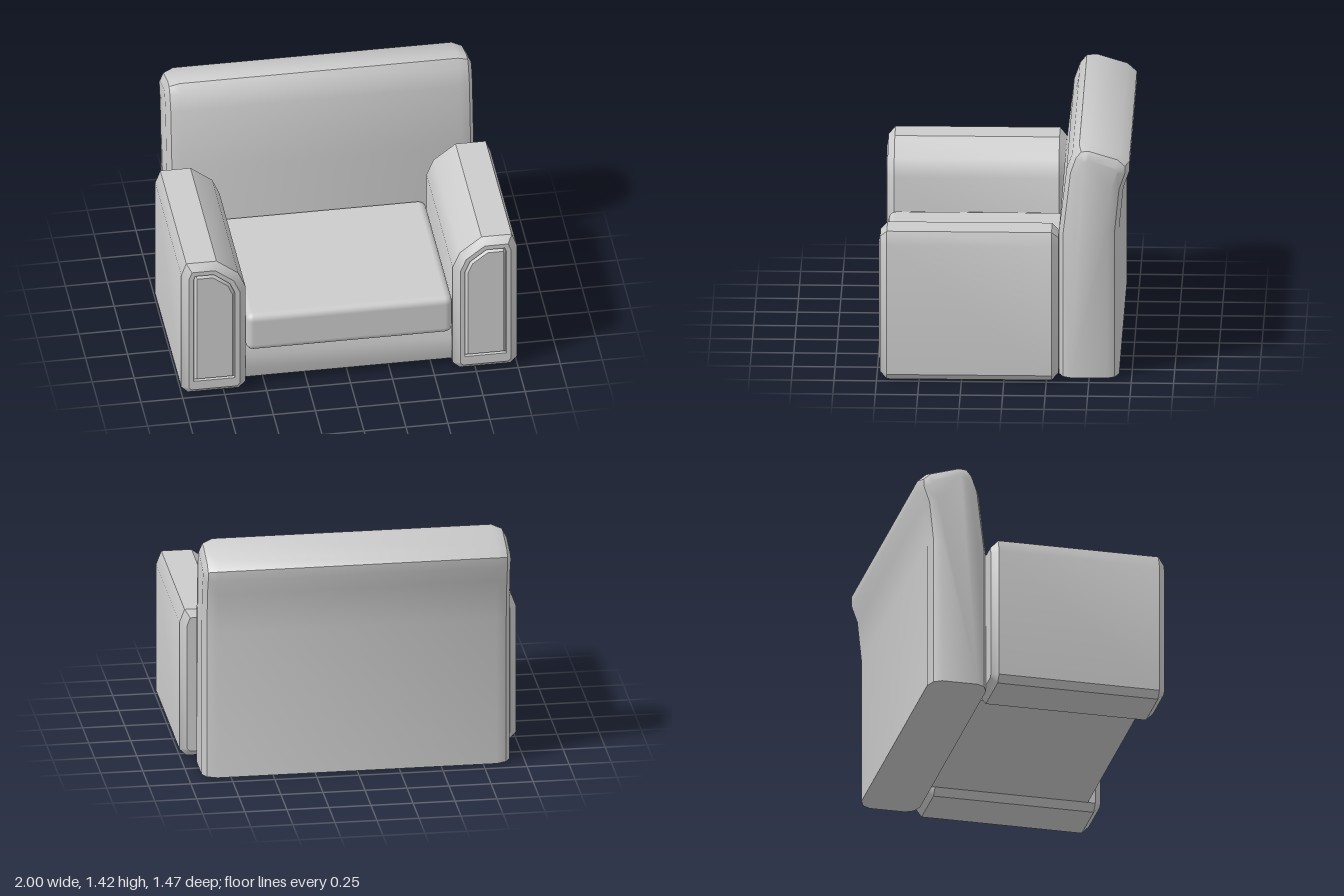
import * as THREE from 'three';
import { toCreasedNormals } from 'three/addons/utils/BufferGeometryUtils.js';
import { RoundedBoxGeometry } from 'three/addons/geometries/RoundedBoxGeometry.js';

const material = new THREE.MeshStandardMaterial({ color: 0xcccccc });

// Move every edge of a counter-clockwise outline inwards by d
function inset(points, d) {
  const n = points.length;
  return points.map(([x, y], i) => {
    const [px, py] = points[(i + n - 1) % n], [qx, qy] = points[(i + 1) % n];
    const a = new THREE.Vector2(py - y, x - px).normalize();
    const b = new THREE.Vector2(y - qy, qx - x).normalize();
    const k = d / (1 + a.dot(b));
    return [x + (a.x + b.x) * k, y + (a.y + b.y) * k];
  });
}

// Loft an outline along z; each layer is [z, inset, height of the lower edge (optional)]
function loft(outline, layers, crease = 0.6) {
  const n = outline.length, position = [], index = [];
  const rings = layers.map(([z, d, floor]) => {
    const ring = inset(outline, d).map(([x, y]) => [x, floor !== undefined && y < 0.2 ? floor : y]);
    ring.forEach(([x, y]) => position.push(x, y, z));
    return ring;
  });
  for (let l = 0; l < layers.length - 1; l++) {
    for (let i = 0; i < n; i++) {
      const a = l * n + i, b = l * n + (i + 1) % n;
      index.push(a, b, b + n, a, b + n, a + n);
    }
  }
  const cap = (l, flip) => {
    const shape = rings[l].map(([x, y]) => new THREE.Vector2(x, y));
    for (const [a, b, c] of THREE.ShapeUtils.triangulateShape(shape, [])) {
      const o = l * n;
      if (flip) index.push(o + a, o + c, o + b);
      else index.push(o + a, o + b, o + c);
    }
  };
  cap(0, true);
  cap(layers.length - 1, false);
  const geometry = new THREE.BufferGeometry();
  geometry.setAttribute('position', new THREE.Float32BufferAttribute(position, 3));
  geometry.setIndex(index);
  return toCreasedNormals(geometry, crease);
}

export function createModel() {
  const chair = new THREE.Group();
  chair.name = 'armchair';
  const add = (name, geometry) => {
    const mesh = new THREE.Mesh(geometry, material);
    mesh.name = name;
    chair.add(mesh);
    return mesh;
  };

  // Backrest: side profile (backward, up) lofted across the width, ends rounded off
  const backProfile = [
    [0.32, 0], [0.675, 0], [0.675, 0.91], [0.7, 1.16], [0.735, 1.26], [0.735, 1.32],
    [0.68, 1.37], [0.5, 1.425], [0.44, 1.42], [0.4, 1.37], [0.365, 1.27], [0.32, 0.88],
  ];
  add('backrest', loft(backProfile, [
    [-0.915, 0.07, 0], [-0.89, 0.025, 0], [-0.83, 0, 0],
    [0.83, 0, 0], [0.89, 0.025, 0], [0.915, 0.07, 0],
  ]).rotateY(Math.PI / 2));

  // Arms: bevelled blocks with a grooved, raised panel on the front
  const armOutline = [
    [0.66, 0], [0.96, 0], [1, 0.04], [1, 0.84], [0.97, 0.92],
    [0.79, 0.92], [0.66, 0.82], [0.617, 0.72], [0.617, 0.04],
  ];
  const armLayers = [
    [-0.32, 0.04], [-0.28, 0], [0.69, 0], [0.73, 0.04],
    [0.73, 0.068, 0.1], [0.712, 0.072, 0.104], [0.737, 0.085, 0.12],
  ];
  const mirrored = armOutline.map(([x, y]) => [-x, y]).reverse();
  add('leftArm', loft(armOutline, armLayers));
  add('rightArm', loft(mirrored, armLayers));

  // Seat base with a gently bowed front, raised slightly off the ground
  const baseProfile = [
    [-0.645, 0.04], [0.33, 0.04], [0.33, 0.28], [-0.645, 0.28], [-0.665, 0.2], [-0.665, 0.12],
  ];
  add('seatBase', loft(baseProfile, [[-0.62, 0], [0.62, 0]]).rotateY(Math.PI / 2));

  // Seat cushion
  add('seatCushion', new RoundedBoxGeometry(1.23, 0.255, 1.045, 2, 0.045))
    .position.set(0, 0.393, 0.198);

  return chair;
}
